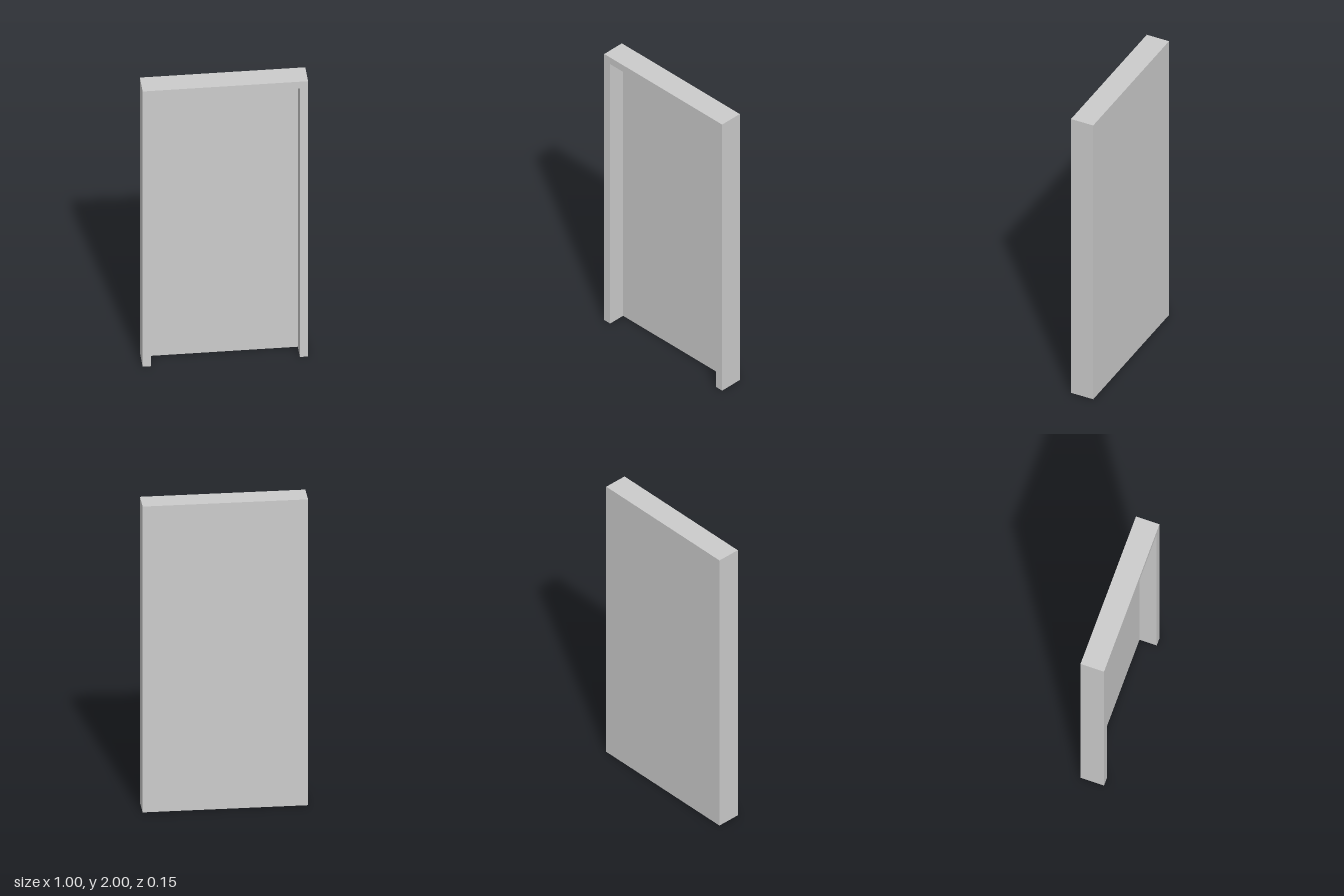
import * as THREE from 'three';

const WIDTH = 1, HEIGHT = 2, DEPTH = 0.15;
const BORDER = 0.05; // width of the posts and lintel
const PANEL = 0.04;  // thickness of the back panel

export function createModel() {
  const group = new THREE.Group();
  group.name = 'doorFrame';
  const material = new THREE.MeshStandardMaterial({ color: 0xcccccc });

  // Two posts joined by a lintel, open at the bottom
  const outer = WIDTH / 2, inner = outer - BORDER, top = HEIGHT - BORDER;
  const outline = new THREE.Shape([
    [-outer, 0], [-inner, 0], [-inner, top], [inner, top],
    [inner, 0], [outer, 0], [outer, HEIGHT], [-outer, HEIGHT],
  ].map(([x, y]) => new THREE.Vector2(x, y)));
  const frame = new THREE.Mesh(
    new THREE.ExtrudeGeometry(outline, { depth: DEPTH, bevelEnabled: false }), material);
  frame.name = 'frame';
  frame.position.z = -DEPTH / 2;
  group.add(frame);

  // Panel filling the opening, flush with the back
  const panel = new THREE.Mesh(new THREE.BoxGeometry(inner * 2, top, PANEL), material);
  panel.name = 'backPanel';
  panel.position.set(0, top / 2, (PANEL - DEPTH) / 2);
  group.add(panel);

  return group;
}
